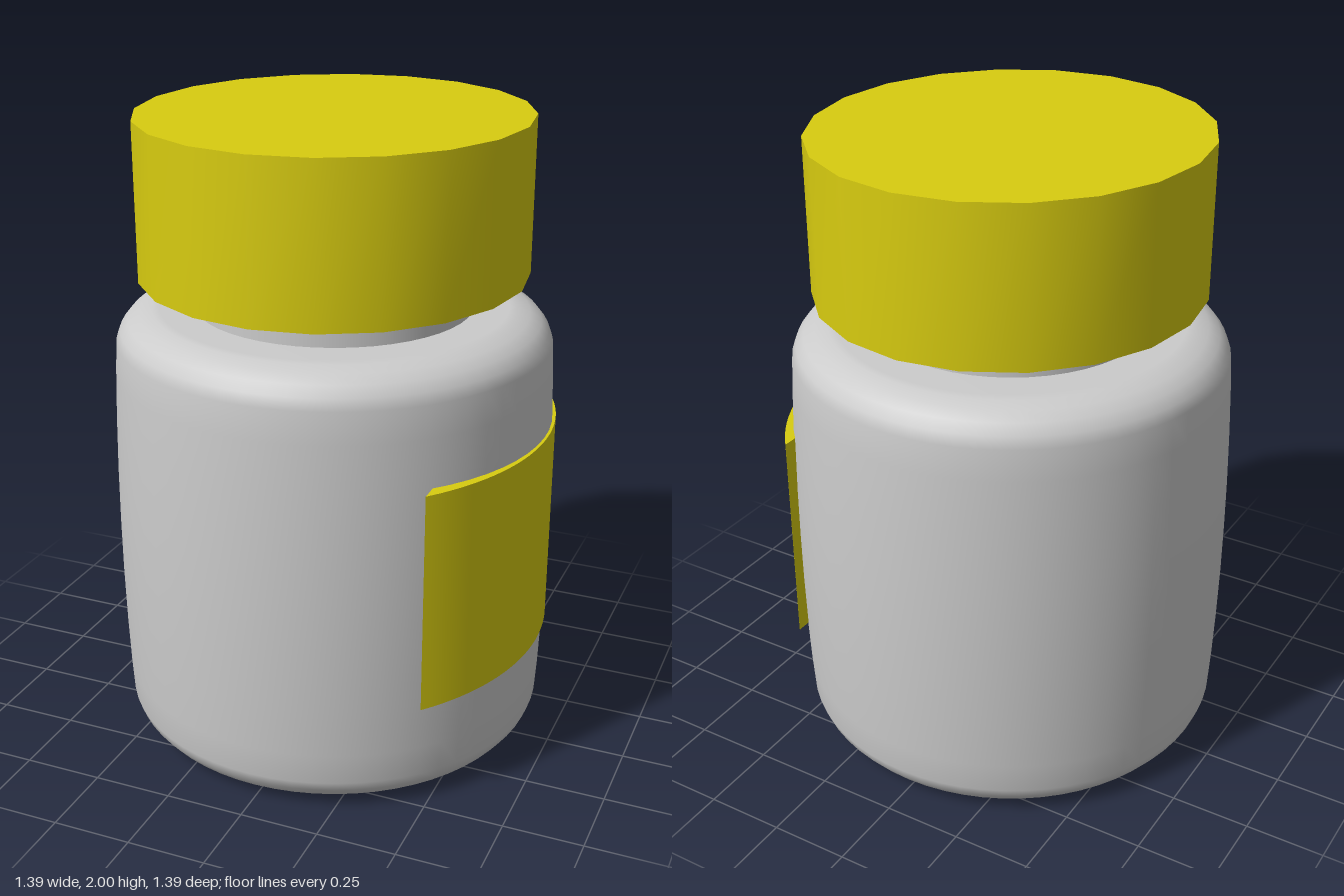
import * as THREE from 'three';
import { toCreasedNormals } from 'three/addons/utils/BufferGeometryUtils.js';

export function createModel() {
  const group = new THREE.Group();
  const grey = new THREE.MeshStandardMaterial({ color: 0xcccccc });
  const yellow = new THREE.MeshStandardMaterial({ color: 0xd8cc10 });

  const add = (name, geometry, material, x = 0, y = 0, z = 0) => {
    const mesh = new THREE.Mesh(geometry, material);
    mesh.name = name;
    mesh.position.set(x, y, z);
    group.add(mesh);
    return mesh;
  };

  // Jar body: slightly barrelled wall with rounded shoulders, mirrored about mid-height
  const height = 1.41;
  const lower = [
    [0, 0], [0.54, 0], [0.565, 0.003], [0.605, 0.015], [0.64, 0.036], [0.664, 0.066],
    [0.677, 0.1], [0.683, 0.2], [0.689, 0.36], [0.693, 0.54],
  ];
  const upper = lower.map(([r, y]) => [r, height - y]).reverse();
  const profile = [...lower, [0.694, height / 2], ...upper].map(([r, y]) => new THREE.Vector2(r, y));
  add('jarBody', new THREE.LatheGeometry(profile, 64), grey, -0.003);

  // Neck between the shoulders and the lid
  add('neck', new THREE.CylinderGeometry(0.434, 0.434, 0.14, 48), grey, -0.003, 1.46);

  // Twenty-sided lid, a little deeper than it is wide
  const lid = toCreasedNormals(new THREE.CylinderGeometry(1, 1, 0.486, 20), 0.6);
  add('lid', lid, yellow, -0.003, 1.757).scale.set(0.598, 1, 0.622);

  // Label: a flatter arc than the body, with its flat back buried in the wall
  const radius = 0.803;
  const half = Math.asin(0.53 / radius);
  const arc = new THREE.Shape();
  arc.absarc(0, 0, radius, -half, half, false);
  arc.closePath();
  const label = new THREE.ExtrudeGeometry(arc, { depth: 0.695, bevelEnabled: false, curveSegments: 24 });
  label.rotateX(-Math.PI / 2);
  add('label', toCreasedNormals(label, 0.6), yellow, 0.694 - radius, 0.365, 0.006);

  return group;
}
